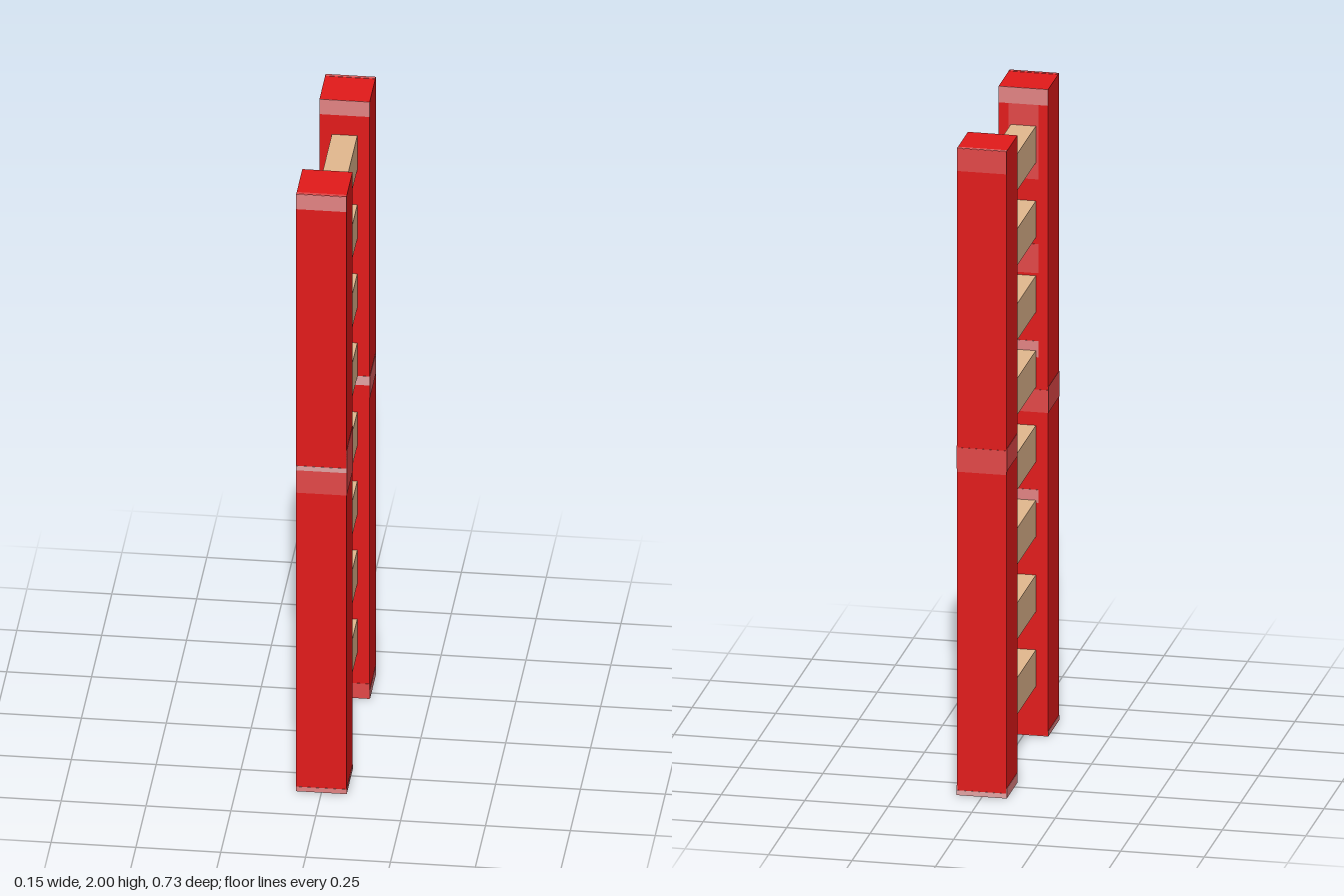
import * as THREE from 'three';

export function createModel() {
  const mat = (name, color) => new THREE.MeshStandardMaterial({ name, color });
  const red = mat('red paint', 0xe41a1a);
  const faded = mat('faded paint', 0xe44848);
  const chipped = mat('chipped paint', 0xe46464);
  const worn = mat('worn paint', 0xe48484);
  const pale = mat('bare edge', 0xe4a4a4);
  const wood = mat('wood', 0xe4b98f);

  const H = 2, W = 0.148, D = 0.15, railZ = 0.287, T = 0.002;
  const group = new THREE.Group();
  group.name = 'ladder';

  const box = (parent, name, material, size, pos) => {
    const mesh = new THREE.Mesh(new THREE.BoxGeometry(...size), material);
    mesh.name = name;
    mesh.position.set(...pos);
    parent.add(mesh);
  };

  // Thin band of worn paint across one upright side of a rail
  const band = (rail, axis, sign, y0, y1, material, width = W) => {
    const onX = axis === 'x';
    const size = onX ? [T, y1 - y0, D] : [width, y1 - y0, T];
    const y = (y0 + y1) / 2;
    const pos = onX ? [sign * W / 2, y, 0] : [0, y, sign * D / 2];
    box(rail, 'wornBand', material, size, pos);
  };

  // Two square rails
  const makeRail = (name, side, edgeMaterial) => {
    const rail = new THREE.Group();
    rail.name = name;
    rail.position.z = side * railZ;
    box(rail, 'post', red, [W, H, D], [0, H / 2, 0]);
    // faded strip along the outer edge of the top
    box(rail, 'topEdge', edgeMaterial, [W, T, 0.011], [0, H - T / 2 + 0.001, side * (D / 2 - 0.0055)]);
    group.add(rail);
    return rail;
  };
  const front = makeRail('frontRail', 1, faded);
  const back = makeRail('backRail', -1, chipped);

  // Outer faces
  band(front, 'z', 1, 1.95, 2, worn);
  band(front, 'z', 1, 1.075, 1.09, pale);
  band(front, 'z', 1, 1.0, 1.075, faded);
  band(front, 'z', 1, 0, 0.015, worn);
  band(back, 'z', -1, 1.93, 2, faded);
  band(back, 'z', -1, 1.0, 1.075, faded);
  band(back, 'z', -1, 0, 0.015, pale);

  // Inner faces
  band(back, 'z', 1, 1.95, 2, worn);
  band(back, 'z', 1, 1.05, 1.08, pale);
  band(back, 'z', 1, 0, 0.05, faded);
  band(front, 'z', -1, 1.95, 2, worn);
  band(front, 'z', -1, 1.0, 1.07, faded);
  band(front, 'z', -1, 1.72, 1.95, faded, 0.09);
  band(front, 'z', -1, 1.43, 1.52, faded, 0.09);
  band(front, 'z', -1, 1.17, 1.22, worn, 0.09);
  band(front, 'z', -1, 0.72, 0.76, worn, 0.09);

  // Broad sides
  for (const s of [1, -1]) {
    band(front, 'x', s, 1.0, s > 0 ? 1.15 : 1.08, faded);
    band(front, 'x', s, 0, 0.015, worn);
    band(back, 'x', s, 1.01, 1.08, s > 0 ? chipped : faded);
    band(back, 'x', s, 0, 0.03, worn);
  }

  // Scuffed underside of the front rail
  box(front, 'scuffedFoot', worn, [W, T, D], [0, T / 2 - 0.001, 0]);
  box(front, 'footCentre', red, [0.08, T, 0.08], [0, T / 2 - 0.002, 0]);

  // Evenly spaced wooden rungs
  for (let i = 0; i < 8; i++) {
    box(group, 'rung', wood, [0.075, 0.113, 0.43], [0, 0.208 + i * 0.2314, 0]);
  }
  return group;
}
